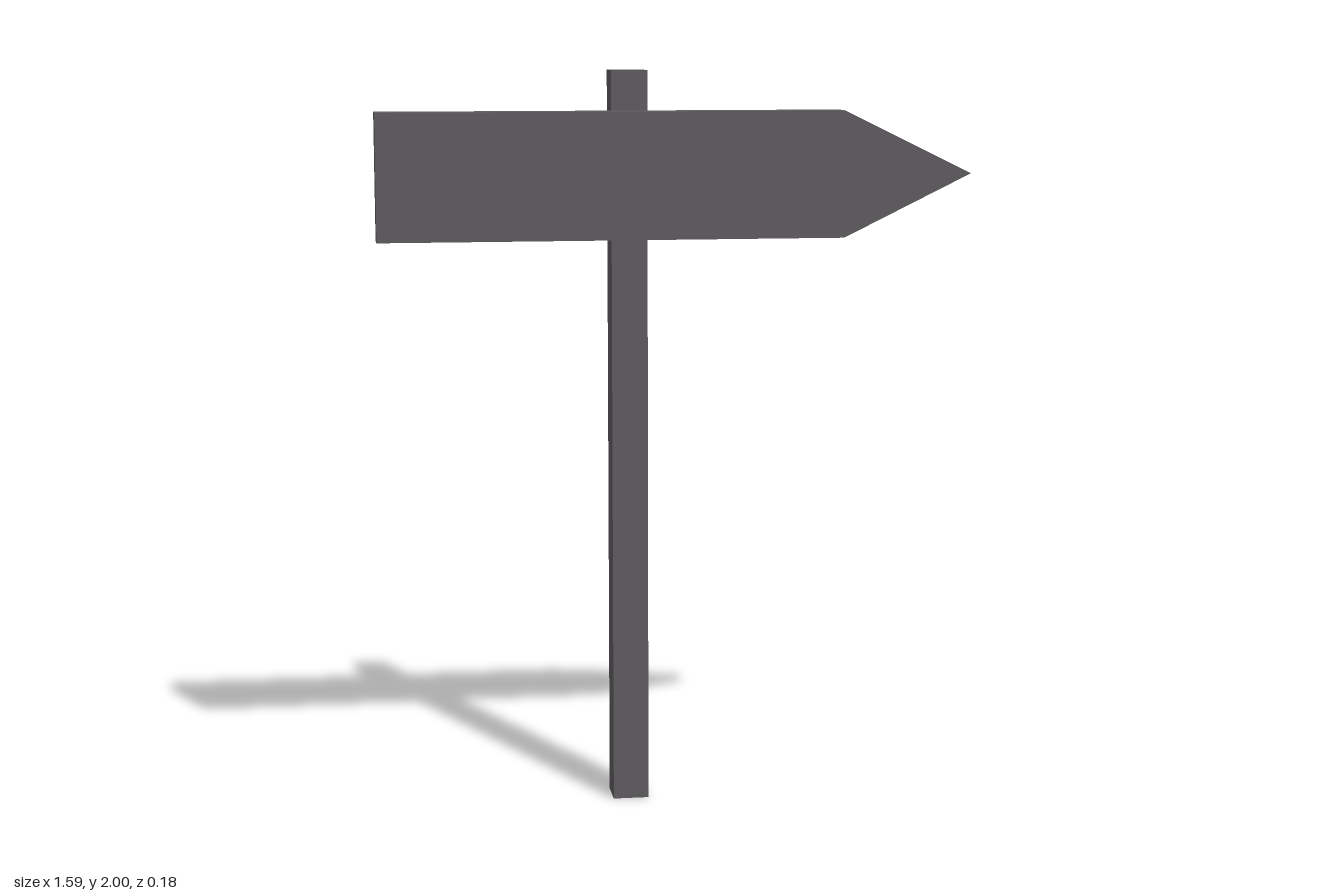
import * as THREE from 'three';

export function createModel() {
  const group = new THREE.Group();
  const darkGrey = new THREE.MeshStandardMaterial({ color: 0x5e5c5e });
  darkGrey.name = 'dark grey';

  // Square upright post, standing behind the board
  const post = new THREE.Mesh(new THREE.BoxGeometry(0.097, 2, 0.097), darkGrey);
  post.name = 'post';
  post.position.set(-0.119, 1, -0.041);
  group.add(post);

  // Arrow-shaped board fixed to the front of the post
  const halfHeight = 0.169;
  const outline = new THREE.Shape([
    new THREE.Vector2(-0.795, -halfHeight),
    new THREE.Vector2(0.45, -halfHeight),
    new THREE.Vector2(0.795, 0),
    new THREE.Vector2(0.45, halfHeight),
    new THREE.Vector2(-0.795, halfHeight),
  ]);
  const board = new THREE.Mesh(
    new THREE.ExtrudeGeometry(outline, { depth: 0.082, bevelEnabled: false }),
    darkGrey
  );
  board.name = 'arrowBoard';
  board.position.set(0, 1.725, 0.007);
  group.add(board);

  return group;
}
